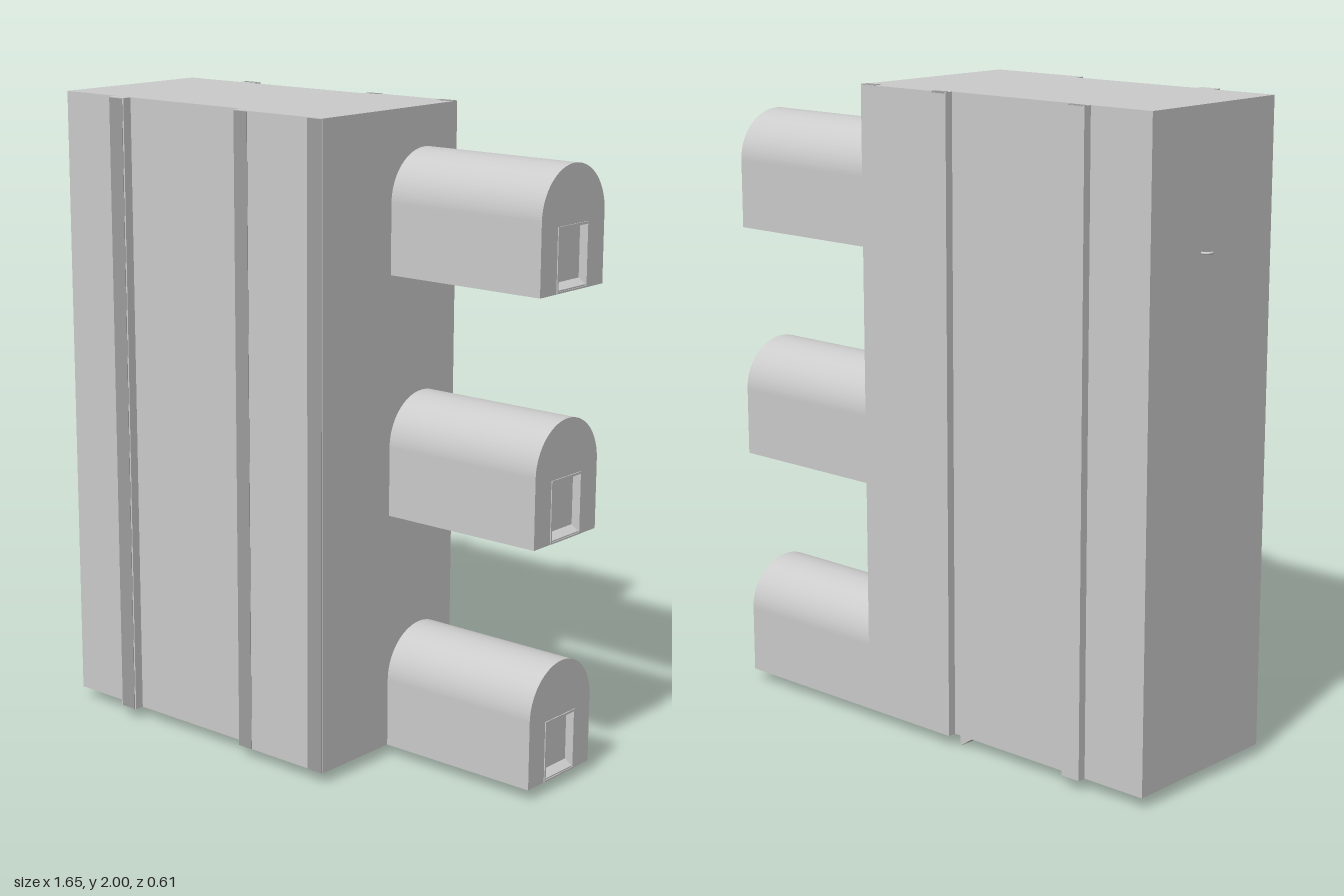
import * as THREE from 'three';

export function createModel() {
  const model = new THREE.Group();
  const grey = new THREE.MeshStandardMaterial({ color: 0xcccccc });
  const dark = new THREE.MeshStandardMaterial({ color: 0x9d9d9d });
  const Y0 = 0.035, Y1 = 2;

  const add = (name, geometry, material = grey, parent = model) => {
    const mesh = new THREE.Mesh(geometry, material);
    mesh.name = name;
    parent.add(mesh);
    return mesh;
  };
  // box given by its limits on each axis
  const box = (name, x0, x1, y0, y1, z0, z1, material, parent) =>
    add(name, new THREE.BoxGeometry(x1 - x0, y1 - y0, z1 - z0), material, parent)
      .position.set((x0 + x1) / 2, (y0 + y1) / 2, (z0 + z1) / 2);
  const polygon = (pts) => new THREE.Shape(pts.map(([x, y]) => new THREE.Vector2(x, y)));
  const extrude = (shape, depth) =>
    new THREE.ExtrudeGeometry(shape, { depth, bevelEnabled: false, curveSegments: 32 });

  // main block: plan outline with the ribs and the thicker right part
  const plan = [
    [-0.8, -0.275], [-0.585, -0.275], [-0.585, -0.305], [-0.52, -0.305], [-0.52, -0.275],
    [-0.065, -0.275], [-0.065, -0.305], [0.28, -0.305],
    [0.28, 0.305], [-0.065, 0.305], [-0.065, 0.278], [-0.52, 0.278],
    [-0.52, 0.305], [-0.585, 0.305], [-0.585, 0.278], [-0.8, 0.278],
  ];
  const bodyGeometry = extrude(polygon(plan), Y1 - Y0);
  bodyGeometry.rotateX(-Math.PI / 2).translate(0, Y0, 0);
  add('body', bodyGeometry);

  // dark vertical strips on the front, with small caps at the back top edge
  const strips = [[-0.58, -0.525, 0.015], [-0.062, -0.01, 0.015], [0.222, 0.278, 0.025]];
  for (const [x0, x1, t] of strips) {
    box('frontStrip', x0, x1, Y0, Y1 - 0.002, 0.3, 0.3065, dark);
    box('backStripCap', x0, x1, Y1 - 0.004, Y1 + 0.001, -0.305, -0.305 + t, dark);
  }

  // arched arms; profile is drawn in (-z, y) and extruded along +x
  const R = 0.1525, H = 0.213;
  const arch = () => {
    const s = new THREE.Shape();
    s.moveTo(0, 0).lineTo(2 * R, 0).lineTo(2 * R, H);
    s.absarc(R, H, R, 0, Math.PI, false);
    s.lineTo(0, 0);
    return s;
  };
  const rect = (x0, x1, y0, y1) => polygon([[x0, y0], [x1, y0], [x1, y1], [x0, y1]]);
  const alongX = (shape, depth, x) => extrude(shape, depth).rotateY(Math.PI / 2).translate(x, 0, 0);

  const armShape = arch();
  const endShape = arch();
  endShape.holes.push(rect(0.084, 0.221, 0.006, 0.185));
  const rimShape = rect(0.078, 0.227, 0.001, 0.192);
  rimShape.holes.push(rect(0.084, 0.221, 0.006, 0.185));
  const ramp = polygon([[0.795, 0.004], [0.82, 0.004], [0.82, 0.01], [0.795, 0.026]]);

  for (const y of [Y0, 0.775, 1.513]) {
    const arm = new THREE.Group();
    arm.name = 'arm';
    arm.position.y = y;
    add('armBody', alongX(armShape, 0.525, 0.27), grey, arm);
    add('armEnd', alongX(endShape, 0.025, 0.795), grey, arm);
    add('windowRim', alongX(rimShape, 0.003, 0.82), grey, arm);
    add('windowRamp', extrude(ramp, 0.137).translate(0, 0, -0.221), grey, arm);
    model.add(arm);
  }

  // small curved hook on the left-hand end
  const hookPath = new THREE.CatmullRomCurve3([
    [-0.795, -0.05], [-0.81, -0.05], [-0.82, -0.043], [-0.822, -0.03],
  ].map(([x, z]) => new THREE.Vector3(x, 1.588, z)));
  add('hook', new THREE.TubeGeometry(hookPath, 16, 0.004, 10, false),
    new THREE.MeshStandardMaterial({ color: 0xcccccc, side: THREE.DoubleSide }));

  // wedge catch under the body
  const wedge = polygon([[-0.135, Y0], [-0.085, 0], [-0.085, Y0]]);
  add('catch', extrude(wedge, 0.245).translate(0, 0, -0.275));

  // small round sockets on the underside
  for (const [x, z] of [[-0.54, -0.016], [-0.03, -0.04]]) {
    add('socket', new THREE.CylinderGeometry(0.014, 0.014, 0.006, 20), dark).position.set(x, Y0, z);
  }

  return model;
}
